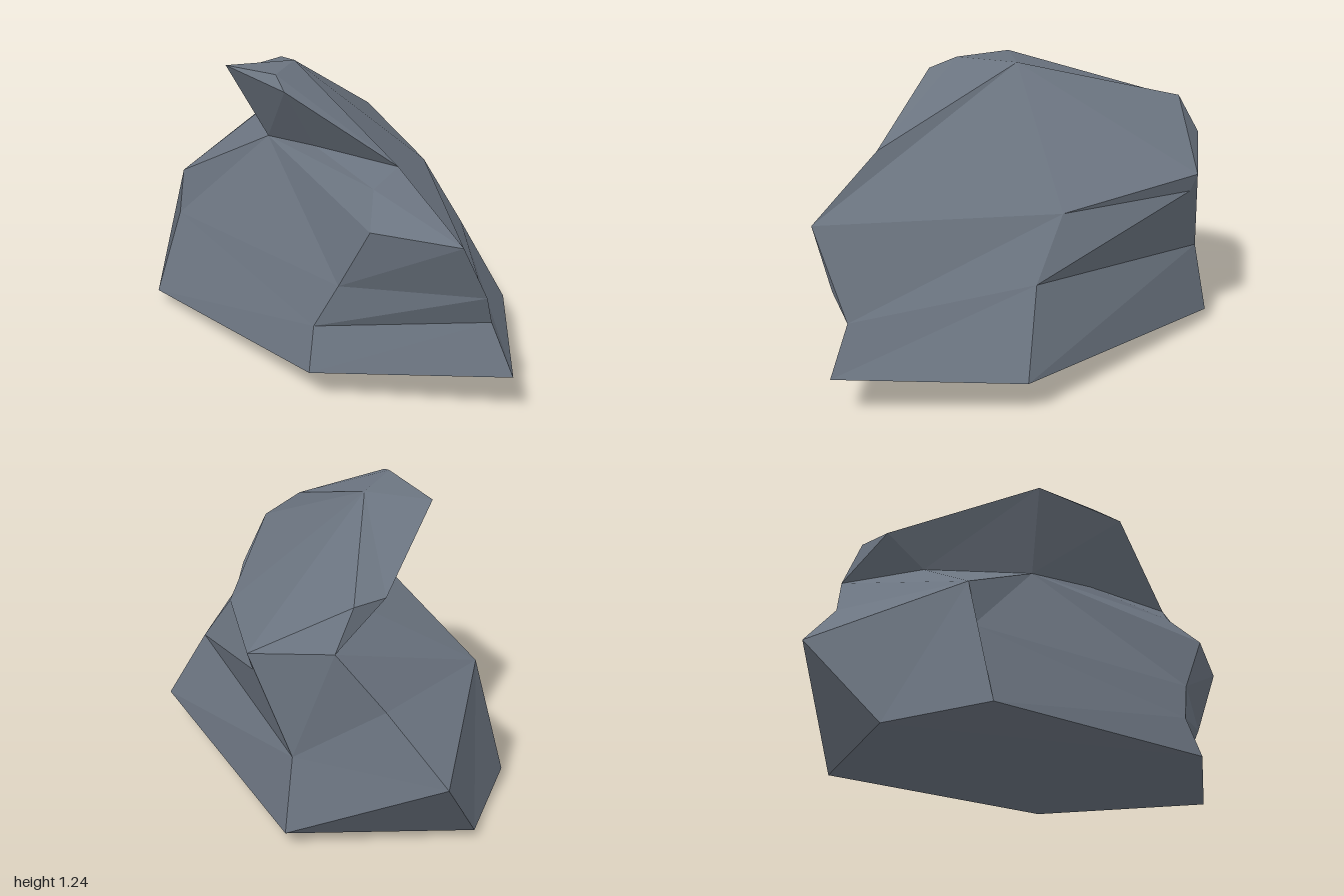
import * as THREE from 'three';

// Corner points of the boulder, grouped by region
const corners = {
  // footprint
  A: [-0.81, 0.06, 0.26], B: [0.23, 0.13, 0.71], C: [1, 0.19, 0.47],
  D: [0.69, 0.15, -0.25], E: [-0.4, 0.06, -0.71], F: [-0.93, 0, -0.14],
  // front and right-hand flank
  A1: [-0.75, 0.42, 0.14], A2: [-0.74, 0.62, 0.11],
  B1: [0.22, 0.31, 0.65], B2: [0.32, 0.5, 0.63], B3: [0.47, 0.77, 0.66],
  C1: [0.89, 0.39, 0.44], C2: [0.89, 0.52, 0.5], C3: [0.83, 0.76, 0.61],
  // back
  D1: [0.49, 0.49, -0.21], D2: [0.29, 0.73, -0.25],
  E1: [-0.39, 0.38, -0.65], E2: [-0.2, 0.71, -0.66], E3: [-0.2, 0.79, -0.69],
  // left shoulder
  G: [-1, 0.37, -0.46], K: [-0.73, 0.63, -0.5], J: [-0.56, 0.86, -0.6],
  // crease under the overhang
  Q0: [-0.47, 0.89, -0.25], Q1: [-0.26, 0.88, 0.16],
  Q2: [0.04, 0.93, 0.3], Q3: [0.42, 0.89, 0.53],
  // cap
  H1: [-0.61, 1.02, -0.35], H2: [-0.57, 1.02, -0.5], P: [-0.4, 1.2, 0.26],
  T: [-0.09, 1.235, 0.38], L: [0, 1.2, 0.47], S: [0.5, 0.98, 0.48], R: [-0.15, 1.22, 0.12],
};

// Each facet lists its corners counter-clockwise from outside
const regions = {
  underside: ['F E D C B A'],
  frontFace: ['A B B1 A1', 'A1 B1 B2', 'Q1 A2 A1 B2 B3 Q3 Q2'],
  rightFlank: ['B C C1 B1', 'B1 C1 C2 B2', 'B2 C2 C3 B3', 'C3 C2 C1', 'Q3 B3 C3 S'],
  backFace: ['D E E1 D1', 'D1 E1 E2 D2', 'E1 E3 E2', 'E2 E3 D2'],
  leftShoulder: ['E F G E1', 'E1 G K J E3', 'A2 G F A A1', 'G A2 K', 'K A2 J', 'J A2 Q0', 'A2 Q1 Q0'],
  overhang: ['J Q0 H1 H2', 'Q0 Q1 P H1', 'Q1 Q2 L P', 'Q2 Q3 S L', 'J H2 E3'],
  cap: ['P L T', 'P T R', 'T L S R', 'R S C3', 'R C3 D2', 'D2 C3 C1', 'D2 C1 D1',
    'D1 C1 C D', 'R D2 E3', 'R E3 H2 H1 P'],
};

// Fans each facet into separate triangles so that its edges stay hard
function facetGeometry(facets) {
  const positions = [];
  for (const facet of facets) {
    const ring = facet.split(' ').map((name) => corners[name]);
    for (let i = 1; i < ring.length - 1; i++) {
      positions.push(...ring[0], ...ring[i], ...ring[i + 1]);
    }
  }
  const geometry = new THREE.BufferGeometry();
  geometry.setAttribute('position', new THREE.Float32BufferAttribute(positions, 3));
  geometry.computeVertexNormals();
  return geometry;
}

export function createModel() {
  const rock = new THREE.Group();
  rock.name = 'rock';
  const stone = new THREE.MeshStandardMaterial({ color: 0x6b7480, flatShading: true });
  for (const [name, facets] of Object.entries(regions)) {
    const mesh = new THREE.Mesh(facetGeometry(facets), stone);
    mesh.name = name;
    rock.add(mesh);
  }
  return rock;
}
